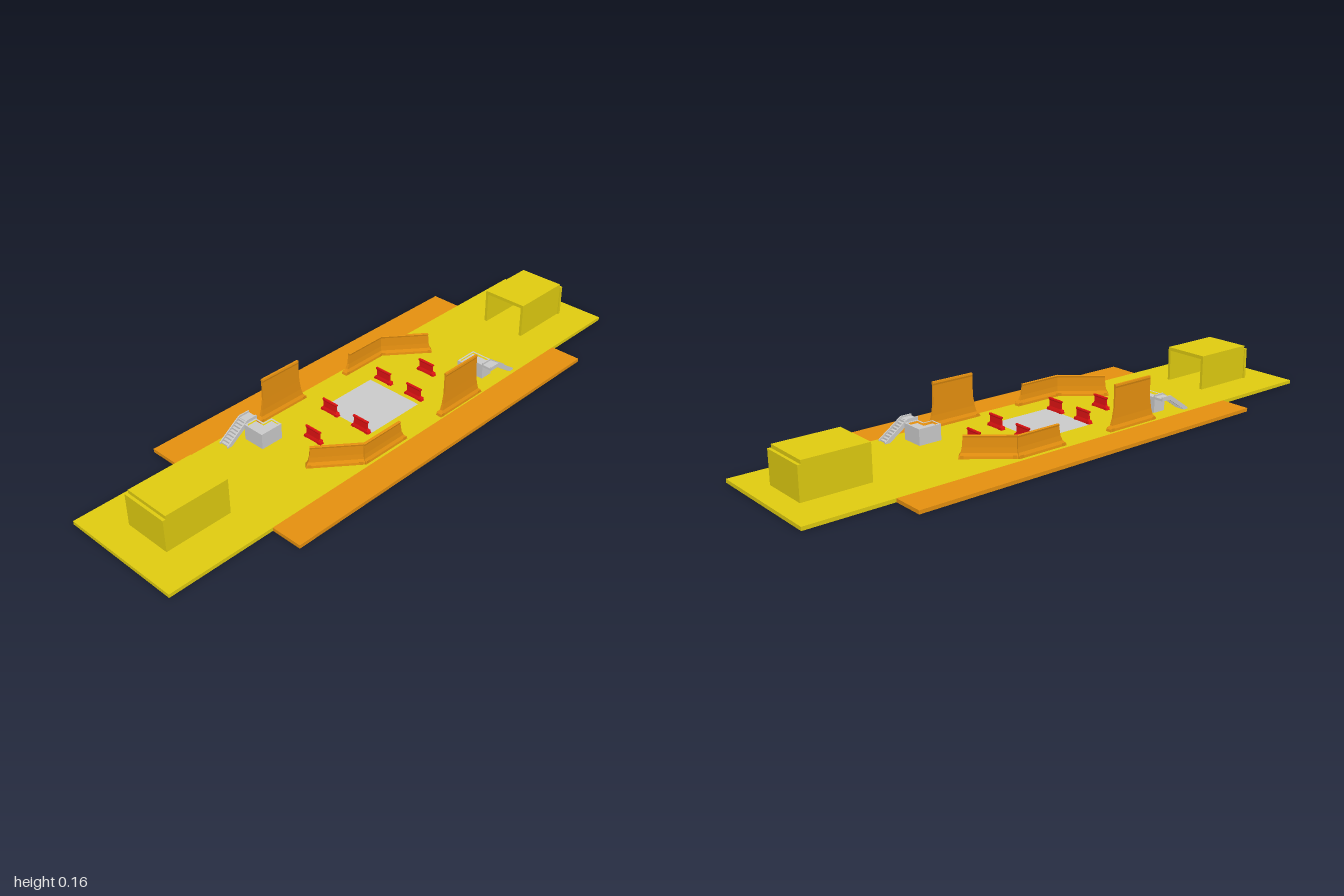
import * as THREE from 'three';

const mat = (color) => new THREE.MeshStandardMaterial({ color, flatShading: true });
const YELLOW = mat(0xe0cc10), ORANGE = mat(0xe6900f), RED = mat(0xdd1212), GREY = mat(0xcccccc);
const TOP = 0.012; // upper face of the ground slabs

// Box given by its limits on each axis
function block(name, m, x0, x1, y0, y1, z0, z1) {
  const mesh = new THREE.Mesh(new THREE.BoxGeometry(x1 - x0, y1 - y0, z1 - z0), m);
  mesh.position.set((x0 + x1) / 2, (y0 + y1) / 2, (z0 + z1) / 2);
  mesh.name = name;
  return mesh;
}

// Vertical extrusion of a plan outline given as [x, z] pairs
function slab(name, m, outline, holes, y0, y1) {
  const pts = (o) => o.map(([x, z]) => new THREE.Vector2(x, -z));
  const shape = new THREE.Shape(pts(outline));
  holes.forEach((h) => shape.holes.push(new THREE.Path(pts(h))));
  const g = new THREE.ExtrudeGeometry(shape, { depth: y1 - y0, bevelEnabled: false });
  g.rotateX(-Math.PI / 2);
  const mesh = new THREE.Mesh(g, m);
  mesh.position.y = y0;
  mesh.name = name;
  return mesh;
}

// Barrier between two plan points; levels are [height, thickness, inset at start, inset at end]
function barrier(name, m, [ax, az], [bx, bz], levels, footSize) {
  const group = new THREE.Group();
  group.name = name;
  const len = Math.hypot(bx - ax, bz - az), n = levels.length - 1;
  const g = new THREE.BoxGeometry(1, n, 1, 1, n, 1);
  const p = g.attributes.position;
  for (let i = 0; i < p.count; i++) {
    const [y, t, s, e] = levels[Math.round(p.getY(i) + n / 2)];
    p.setXYZ(i, p.getX(i) < 0 ? s - len / 2 : len / 2 - e, y, Math.sign(p.getZ(i)) * t / 2);
  }
  g.computeVertexNormals();
  const wall = new THREE.Mesh(g, m);
  wall.name = 'wall';
  group.add(wall);
  // Wider feet near both ends
  for (const s of [-1, 1]) {
    const c = s * (len / 2 - footSize), h = footSize / 2;
    group.add(block('foot', m, c - h, c + h, 0, footSize, -footSize, footSize));
  }
  group.position.set((ax + bx) / 2, TOP, (az + bz) / 2);
  group.rotation.y = -Math.atan2(bz - az, bx - ax);
  return group;
}

// Shelter open towards the middle of the field
function shelter() {
  const g = new THREE.Group();
  g.name = 'shelter';
  g.add(
    block('roof', YELLOW, -0.086, 0.08, 0.122, 0.134, 0.668, 0.89),
    block('sideWall', YELLOW, -0.086, -0.076, TOP, 0.122, 0.668, 0.89),
    block('sideWall', YELLOW, 0.07, 0.08, TOP, 0.122, 0.668, 0.89),
    block('backWall', YELLOW, -0.09, 0.08, TOP, 0.122, 0.89, 0.9),
  );
  return g;
}

// L-shaped platform with a parapet, reached by a flight of steps
function stairPlatform() {
  const g = new THREE.Group();
  g.name = 'stairPlatform';
  const outer = [[-0.16, 0.352], [-0.125, 0.352], [-0.125, 0.318], [-0.08, 0.318], [-0.08, 0.4], [-0.16, 0.4]];
  const inner = [[-0.154, 0.358], [-0.119, 0.358], [-0.119, 0.324], [-0.086, 0.324], [-0.086, 0.394], [-0.154, 0.394]];
  g.add(slab('platform', GREY, outer, [], TOP, 0.055));
  g.add(slab('parapet', GREY, outer, [inner], 0.055, 0.066));
  g.add(block('landing', GREY, -0.2, -0.16, 0.062, 0.07, 0.348, 0.388));

  // Sloping stringers on both sides of the steps
  const side = new THREE.Shape([[0.348, 0.062], [0.382, 0.062], [0.455, TOP], [0.472, TOP], [0.472, 0.017],
    [0.388, 0.076], [0.348, 0.076]].map(([z, y]) => new THREE.Vector2(-z, y)));
  const sg = new THREE.ExtrudeGeometry(side, { depth: 0.004, bevelEnabled: false });
  sg.rotateY(Math.PI / 2);
  for (const x of [-0.2, -0.164]) {
    const stringer = new THREE.Mesh(sg, GREY);
    stringer.position.x = x;
    stringer.name = 'stringer';
    g.add(stringer);
  }
  const steps = 9;
  for (let i = 0; i < steps; i++) {
    const z = 0.384 + i * 0.0092, y = 0.068 - i * 0.0064;
    g.add(block('step', GREY, -0.197, -0.163, Math.max(TOP, y - 0.009), y, z, z + 0.0092));
  }
  return g;
}

// Bent low wall: a straight run and a diagonal run
function bentWall() {
  const g = new THREE.Group();
  g.name = 'bentWall';
  const levels = (s, e) => [[0, 0.022, 0, 0], [0.008, 0.02, s * 0.1, e * 0.1], [0.018, 0.011, s * 0.5, e * 0.5],
    [0.035, 0.008, s * 0.8, e * 0.8], [0.066, 0.007, s, e], [0.072, 0.01, s, e], [0.073, 0.008, s, e]];
  g.add(barrier('straightWall', ORANGE, [0.196, 0.05], [0.196, 0.238], levels(0.025, 0), 0.011));
  g.add(barrier('diagonalWall', ORANGE, [0.196, 0.232], [0.08, 0.37], levels(0, 0.014), 0.011));
  return g;
}

export function createModel() {
  const model = new THREE.Group();
  model.name = 'arena';

  // Ground
  const rect = (x0, x1, z0, z1) => [[x0, z0], [x1, z0], [x1, z1], [x0, z1]];
  model.add(slab('floor', YELLOW, rect(-0.218, 0.216, -1, 1), [rect(-0.108, 0.106, -0.115, 0.11)], 0, TOP));
  model.add(block('centreTile', GREY, -0.108, 0.106, 0, TOP, -0.115, 0.11));
  model.add(block('sideFloor', ORANGE, -0.327, -0.218, 0, TOP, -0.708, 0.63));
  model.add(block('sideFloor', ORANGE, 0.216, 0.326, 0, TOP, -0.708, 0.63));

  // Each half of the arena is the other turned by 180 degrees
  for (const turned of [false, true]) {
    const half = new THREE.Group();
    half.name = turned ? 'backHalf' : 'frontHalf';
    half.add(shelter(), stairPlatform(), bentWall());
    if (turned) {
      half.rotation.y = Math.PI;
      half.position.set(0.002, 0, -0.026);
    }
    model.add(half);
  }

  // Tall screens with flared lower ends
  const tall = [[0, 0.022, 0, 0], [0.008, 0.02, 0.002, 0.002], [0.018, 0.011, 0.012, 0.012], [0.04, 0.008, 0.018, 0.018],
    [0.075, 0.007, 0.024, 0.024], [0.14, 0.006, 0.025, 0.025], [0.146, 0.009, 0.025, 0.025], [0.152, 0.007, 0.025, 0.025]];
  model.add(barrier('tallScreen', ORANGE, [-0.197, 0.107], [-0.197, 0.313], tall, 0.011));
  model.add(barrier('tallScreen', ORANGE, [0.2, -0.315], [0.2, -0.109], tall, 0.011));

  // Small red barriers
  const small = [[0, 0.015, 0, 0], [0.006, 0.013, 0.002, 0.002], [0.014, 0.008, 0.01, 0.01],
    [0.034, 0.006, 0.01, 0.01], [0.038, 0.008, 0.006, 0.006], [0.042, 0.006, 0.006, 0.006]];
  for (const [x, z] of [[-0.002, -0.28], [-0.07, -0.14], [0.067, -0.139], [-0.07, 0.114], [0.067, 0.114], [-0.002, 0.256]])
    model.add(barrier('smallBarrier', RED, [x - 0.038, z], [x + 0.038, z], small, 0.009));

  return model;
}
